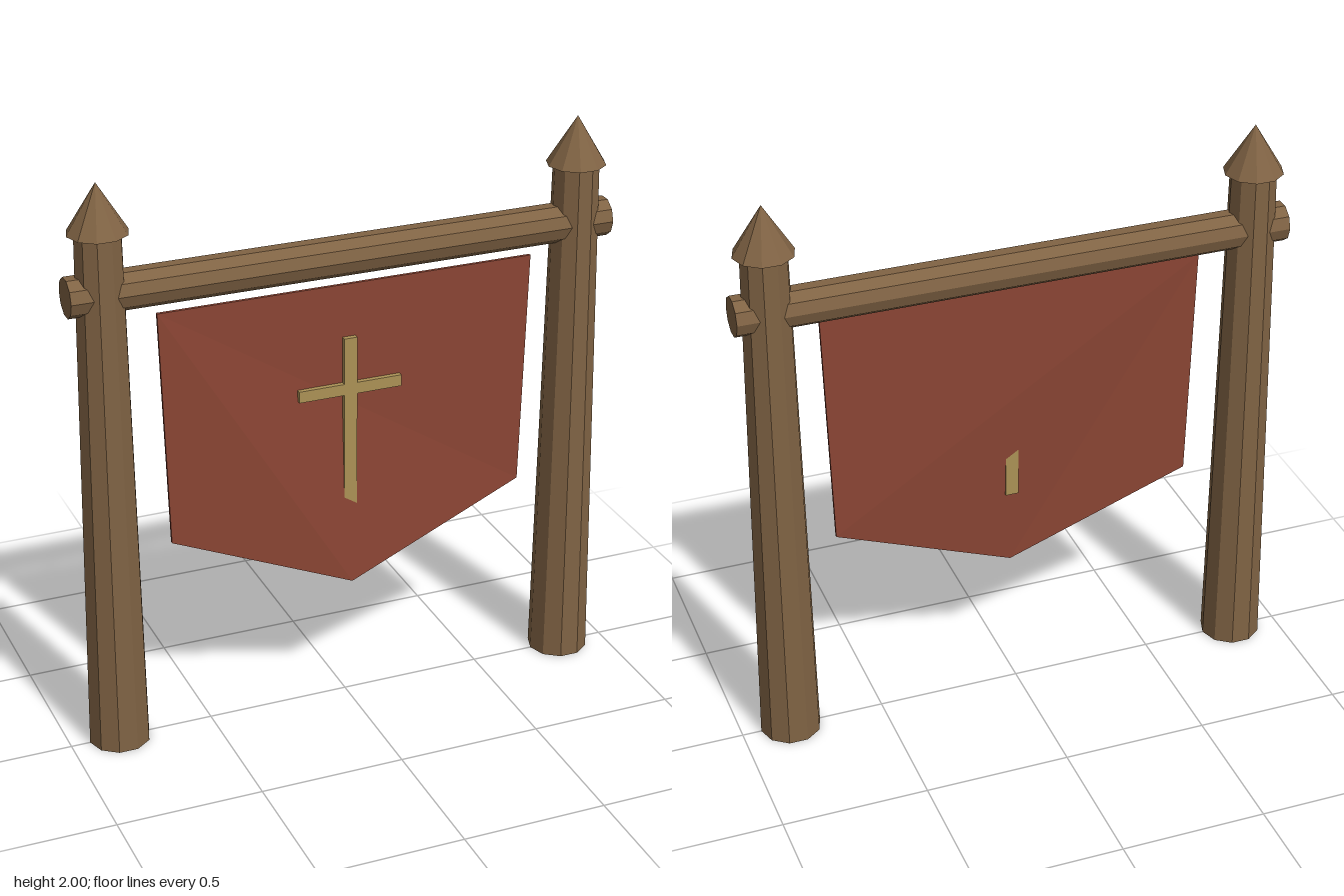
import * as THREE from 'three';

const wood = new THREE.MeshStandardMaterial({ name: 'wood', color: 0x80633f, flatShading: true });
wood.color.set(0x806344);
const cloth = new THREE.MeshStandardMaterial({ name: 'red cloth', color: 0x8b4534, flatShading: true });
const gold = new THREE.MeshStandardMaterial({ name: 'gold trim', color: 0xac9256, flatShading: true });

function add(parent, name, geometry, material, x = 0, y = 0, z = 0) {
  const mesh = new THREE.Mesh(geometry, material);
  mesh.name = name;
  mesh.position.set(x, y, z);
  parent.add(mesh);
  return mesh;
}

// Pennant: five-cornered sheet whose tip swings forward, folded as a fan from the first corner
function bannerGeometry() {
  const outline = [[-0.655, 1.545, 0.033], [-0.63, 0.72, 0.033], [0, 0.462, 0.067], [0.63, 0.72, 0.033], [0.655, 1.545, 0.033]];
  const thickness = 0.011;
  const n = outline.length;
  const positions = [
    ...outline.flat(),
    ...outline.flatMap(([x, y, z]) => [x, y, z - thickness]),
  ];
  const index = [];
  for (let i = 1; i < n - 1; i++) {
    index.push(0, i, i + 1); // front
    index.push(n, n + i + 1, n + i); // back
  }
  for (let i = 0; i < n; i++) {
    const j = (i + 1) % n;
    index.push(i, n + i, j, j, n + i, n + j); // rim
  }
  const indexed = new THREE.BufferGeometry();
  indexed.setAttribute('position', new THREE.Float32BufferAttribute(positions, 3));
  indexed.setIndex(index);
  const geometry = indexed.toNonIndexed();
  geometry.computeVertexNormals();
  return geometry;
}

export function createModel() {
  const model = new THREE.Group();
  model.name = 'bannerStand';

  // Tapered posts with pointed caps
  const postHeight = 1.835;
  const capHeight = 0.165;
  for (const [side, name] of [[1, 'left'], [-1, 'right']]) {
    const post = new THREE.Group();
    post.name = name + 'Post';
    post.position.x = side * 0.829;
    post.rotation.y = Math.PI / 2;
    add(post, 'shaft', new THREE.CylinderGeometry(0.078, 0.105, postHeight, 10), wood, 0, postHeight / 2);
    add(post, 'pointedCap', new THREE.ConeGeometry(0.101, capHeight, 10), wood, 0, postHeight + capHeight / 2);
    model.add(post);
  }

  // Crossbeam through both posts
  const beam = add(model, 'crossbeam', new THREE.CylinderGeometry(0.067, 0.067, 1.885, 10), wood, 0, 1.633);
  beam.rotation.z = Math.PI / 2;

  add(model, 'banner', bannerGeometry(), cloth);

  // Cross emblem, its foot passing through the slanting cloth
  const emblem = new THREE.Group();
  emblem.name = 'crossEmblem';
  emblem.position.z = 0.0425;
  add(emblem, 'upright', new THREE.BoxGeometry(0.046, 0.62, 0.018), gold, 0, 1.05);
  add(emblem, 'crossbar', new THREE.BoxGeometry(0.365, 0.04, 0.0178), gold, 0, 1.177);
  model.add(emblem);

  return model;
}
